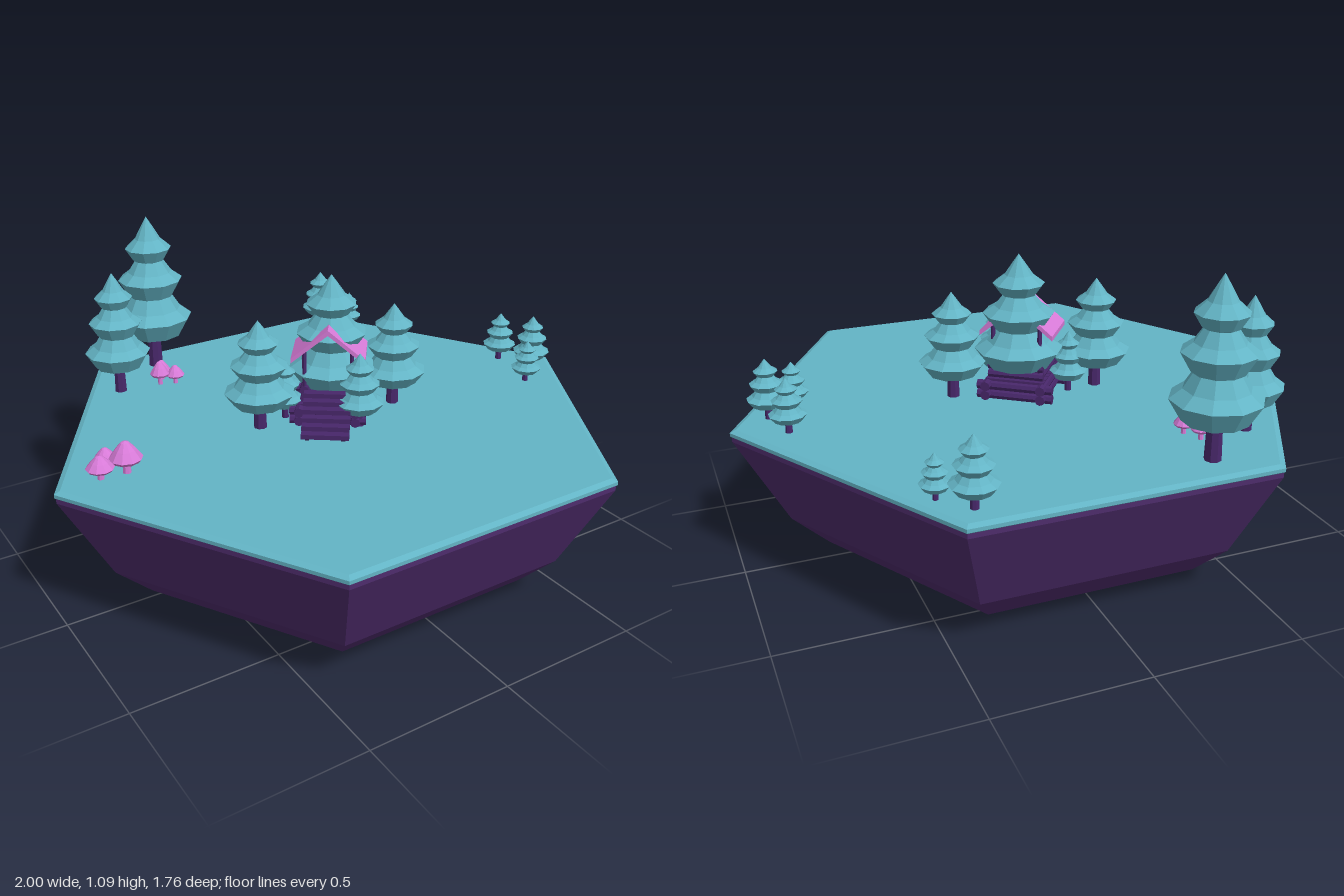
import * as THREE from 'three';

const GROUND = 0.505;
const mat = (name, color) => {
  const m = new THREE.MeshStandardMaterial({ color });
  m.name = name;
  return m;
};

// Faceted normals for the low-poly look
function flat(geo) {
  const g = geo.index ? geo.toNonIndexed() : geo;
  g.computeVertexNormals();
  return g;
}

const lathe = (pts, sides, start = 0) =>
  flat(new THREE.LatheGeometry(pts.map(([r, y]) => new THREE.Vector2(r, y)), sides, start));

function add(parent, name, geo, material, x = 0, y = 0, z = 0) {
  const mesh = new THREE.Mesh(geo, material);
  mesh.name = name;
  mesh.position.set(x, y, z);
  parent.add(mesh);
  return mesh;
}

export function createModel() {
  const teal = mat('teal foliage', 0x63b4c5);
  const earth = mat('purple earth', 0x4e2c6c);
  const wood = mat('purple wood', 0x48276a);
  const pink = mat('pink', 0xd87bd8);
  const model = new THREE.Group();
  model.name = 'islandScene';

  // Six-sided island with a bevelled grass slab on top
  add(model, 'islandBase', lathe([[0, 0], [0.545, 0], [0.71, 0.042], [0.83, 0.155],
    [0.995, 0.465], [0.995, 0.482], [0, 0.482]], 6, Math.PI / 2), earth, 0, 0, 0.025);
  add(model, 'grassTop', lathe([[0, 0.479], [0.992, 0.479], [1, 0.485], [1, 0.497],
    [0.98, GROUND], [0, GROUND]], 6, Math.PI / 2), teal, 0, 0, 0.025);

  // Pines: three bell-shaped tiers (radius, height as fractions)
  const tiers = [[0, 0.22], [0.72, 0.225], [1, 0.345], [0.72, 0.40], [0.5, 0.49],
    [0.57, 0.49], [0.81, 0.595], [0.55, 0.645], [0.35, 0.72], [0.4, 0.725],
    [0.58, 0.80], [0.32, 0.86], [0.14, 0.94], [0, 1]];
  const pines = [ // x, z, radius, top
    [-0.32, -0.72, 0.145, 1.085], [-0.53, -0.565, 0.115, 0.952],
    [-0.25, -0.03, 0.12, 0.89], [0.03, -0.02, 0.15, 1.0],
    [0.245, 0.045, 0.115, 0.875], [0.04, 0.14, 0.085, 0.768],
    [-0.14, -0.05, 0.065, 0.72], [0.825, -0.055, 0.062, 0.69],
    [0.865, 0.08, 0.068, 0.712], [0.77, 0.16, 0.055, 0.66],
    [0.445, -0.748, 0.075, 0.73], [0.53, -0.66, 0.048, 0.65],
  ];
  for (const [x, z, r, top] of pines) {
    const h = top - GROUND;
    const pine = new THREE.Group();
    pine.name = 'pineTree';
    pine.position.set(x, GROUND, z);
    add(pine, 'foliage', lathe(tiers.map(([a, b]) => [a * r, b * h]), 10), teal);
    add(pine, 'trunk', flat(new THREE.CylinderGeometry(r * 0.16, r * 0.19, h * 0.3, 8)), wood, 0, h * 0.14, 0);
    model.add(pine);
  }

  // Mushrooms: x, z, cap radius, top
  const mushrooms = [
    [-0.8, -0.05, 0.036, 0.57], [-0.76, 0.025, 0.054, 0.615], [-0.845, 0.02, 0.046, 0.585],
    [-0.385, -0.54, 0.036, 0.595], [-0.333, -0.52, 0.034, 0.575], [-0.36, -0.58, 0.034, 0.58],
  ];
  for (const [x, z, r, top] of mushrooms) {
    const h = top - GROUND;
    const mushroom = new THREE.Group();
    mushroom.name = 'mushroom';
    mushroom.position.set(x, GROUND, z);
    add(mushroom, 'cap', lathe([[0, h * 0.46], [r * 0.85, h * 0.38], [r, h * 0.48],
      [r * 0.62, h * 0.74], [r * 0.25, h * 0.95], [0, h]], 10), pink);
    add(mushroom, 'stem', flat(new THREE.CylinderGeometry(r * 0.2, r * 0.26, h * 0.5, 8)), pink, 0, h * 0.24, 0);
    model.add(mushroom);
  }

  // Log shelter, turned towards the front right
  const cabin = new THREE.Group();
  cabin.name = 'cabin';
  cabin.position.set(0.01, GROUND, 0);
  cabin.rotation.y = -0.64;
  model.add(cabin);

  // Crossed log foundation and plank deck
  for (let row = 0; row < 2; row++) {
    for (const s of [-1, 1]) {
      const across = add(cabin, 'foundationLog', flat(new THREE.CylinderGeometry(0.017, 0.017, 0.26, 8)),
        wood, 0, 0.017 + row * 0.032, s * 0.095);
      across.rotation.z = Math.PI / 2;
      const along = add(cabin, 'foundationLog', flat(new THREE.CylinderGeometry(0.017, 0.017, 0.26, 8)),
        wood, s * 0.095, 0.022 + row * 0.032, 0);
      along.rotation.x = Math.PI / 2;
    }
  }
  for (let i = 0; i < 6; i++) {
    add(cabin, 'deckPlank', new THREE.BoxGeometry(0.2, 0.014, 0.03), wood, 0, 0.066, -0.0825 + i * 0.033);
  }

  // Low log walls and roof posts
  for (let i = 0; i < 2; i++) {
    const back = add(cabin, 'wallLog', flat(new THREE.CylinderGeometry(0.015, 0.015, 0.19, 8)),
      wood, 0, 0.088 + i * 0.03, -0.08);
    back.rotation.z = Math.PI / 2;
    for (const s of [-1, 1]) {
      const side = add(cabin, 'wallLog', flat(new THREE.CylinderGeometry(0.015, 0.015, 0.17, 8)),
        wood, s * 0.08, 0.088 + i * 0.03, 0);
      side.rotation.x = Math.PI / 2;
    }
  }
  for (const sx of [-1, 1]) for (const sz of [-1, 1]) {
    add(cabin, 'roofPost', flat(new THREE.CylinderGeometry(0.008, 0.008, 0.2, 6)), wood, sx * 0.08, 0.16, sz * 0.075);
  }

  // Steps climbing to the deck
  for (let i = 0; i < 6; i++) {
    add(cabin, 'step', new THREE.BoxGeometry(0.16, 0.016, 0.03), wood, 0, 0.112 - i * 0.019, 0.1 + i * 0.024);
  }
  for (const s of [-1, 1]) {
    const rail = add(cabin, 'stairBeam', new THREE.BoxGeometry(0.014, 0.022, 0.17), wood, s * 0.06, 0.05, 0.155);
    rail.rotation.x = 0.66;
  }

  // Gabled roof as a bent slab
  const gable = new THREE.Shape([[-0.125, 0.22], [0, 0.322], [0.125, 0.22], [0.125, 0.236], [0, 0.34], [-0.125, 0.236]]
    .map(([x, y]) => new THREE.Vector2(x, y)));
  add(cabin, 'roof', new THREE.ExtrudeGeometry(gable, { depth: 0.18, bevelEnabled: false }), pink, 0, 0, -0.085);

  return model;
}
